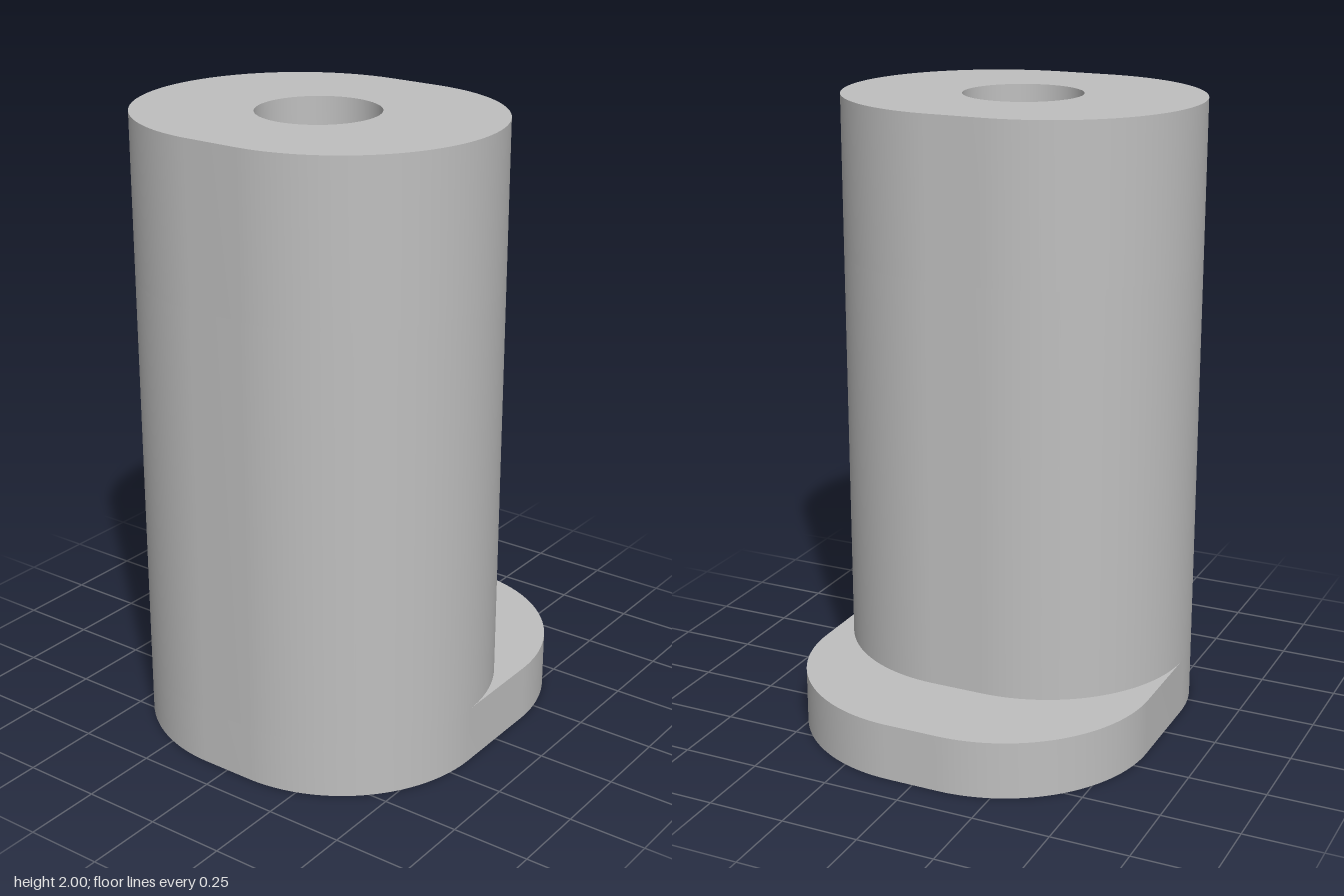
import * as THREE from 'three';
import { toCreasedNormals } from 'three/addons/utils/BufferGeometryUtils.js';

const R = 0.4925;        // corner radius of all outlines
const HALF_Z = 0.577;    // half depth of flange and body
const BODY_X = -0.158;   // axis of the body and bores
const FLANGE_TOP = 0.185;
const STEP_Y = 1.5;      // where the wide bore narrows
const WIDE_BORE = 0.355, NARROW_BORE = 0.19;

// Rounded outline from x0 to x1 with a round bore, extruded from y0 to y1
function layer(name, x0, x1, bore, y0, y1, material) {
  const cx0 = x0 + R, cx1 = x1 - R, cz = HALF_Z - R;
  const shape = new THREE.Shape();
  shape.absarc(cx1, cz, R, 0, Math.PI / 2);
  shape.absarc(cx0, cz, R, Math.PI / 2, Math.PI);
  shape.absarc(cx0, -cz, R, Math.PI, Math.PI * 1.5);
  shape.absarc(cx1, -cz, R, Math.PI * 1.5, Math.PI * 2);
  shape.closePath();
  const hole = new THREE.Path();
  hole.absarc(BODY_X, 0, bore, 0, Math.PI * 2, true);
  shape.holes.push(hole);

  const geometry = new THREE.ExtrudeGeometry(shape, { depth: y1 - y0, bevelEnabled: false, curveSegments: 32 });
  geometry.rotateX(-Math.PI / 2).translate(0, y0, 0);
  const mesh = new THREE.Mesh(toCreasedNormals(geometry, 0.5), material);
  mesh.name = name;
  return mesh;
}

export function createModel() {
  const group = new THREE.Group();
  group.name = 'flangedBushing';
  const grey = new THREE.MeshStandardMaterial({ color: 0xbfbfbf });
  grey.name = 'plain grey';

  const left = BODY_X - R, right = BODY_X + R;
  group.add(
    // Offset foot, wider on +x
    layer('flange', left, 0.65, WIDE_BORE, 0, FLANGE_TOP, grey),
    // Hollow column with the wide bore open below
    layer('lowerBody', left, right + 0.0001, WIDE_BORE, FLANGE_TOP, STEP_Y, grey),
    // Thick-walled top with the narrow bore
    layer('upperBody', left, right + 0.0001, NARROW_BORE, STEP_Y, 2, grey)
  );
  return group;
}
